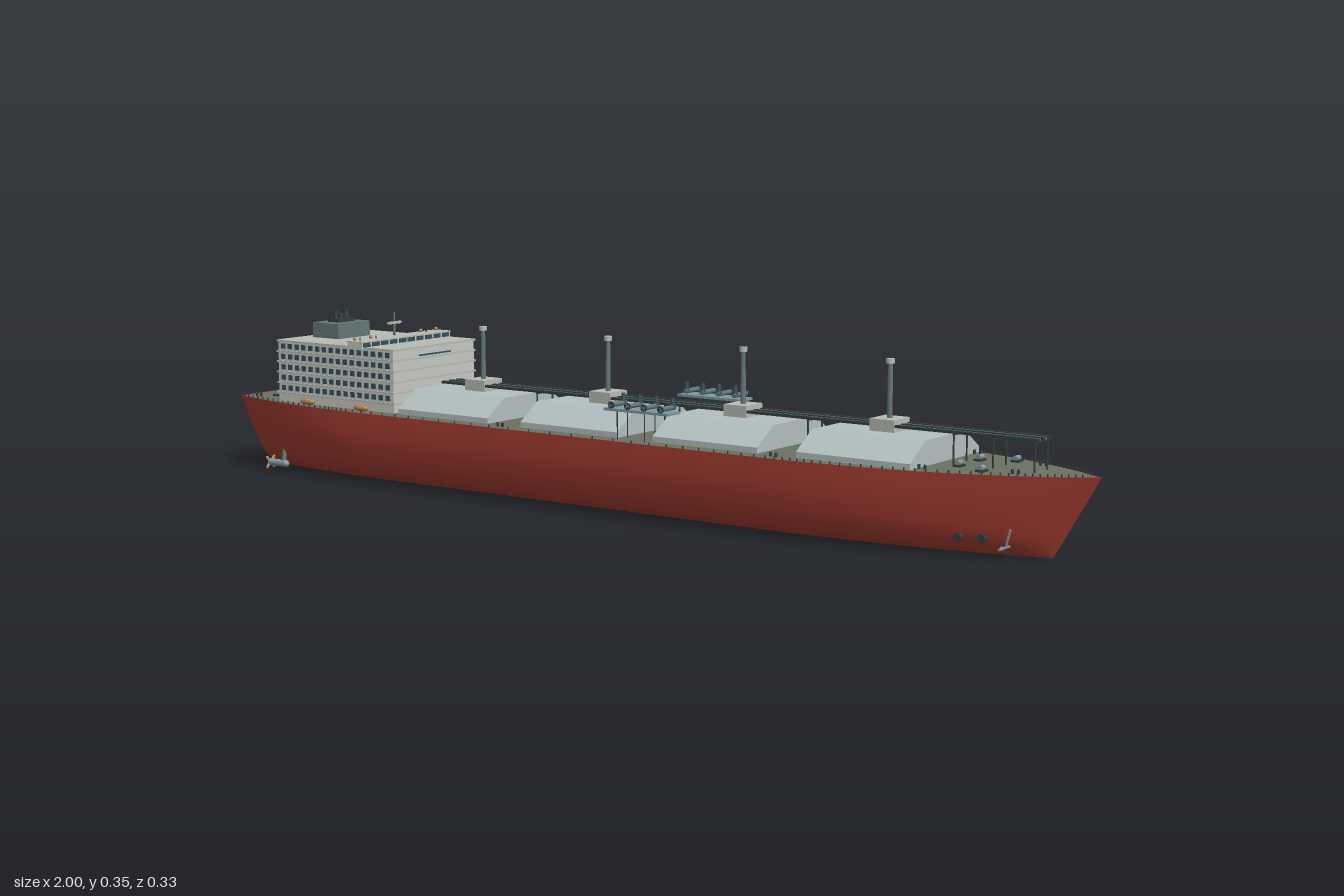
import * as THREE from 'three';

const mat = (color, opts = {}) => new THREE.MeshStandardMaterial({ color, ...opts });
const M = {
  hull: mat(0xa83e32, { side: THREE.DoubleSide }), deck: mat(0x6c7262, { side: THREE.DoubleSide }),
  white: mat(0xc9cac4), tank: mat(0xb4c0c0), glass: mat(0x34505e), steel: mat(0x647876),
  dark: mat(0x33403f), pale: mat(0xb9bcb5), orange: mat(0xb8844e), blue: mat(0x7c98a2),
};
const DECK = 0.155;

export function createModel() {
  const ship = new THREE.Group();

  // Helpers
  const add = (name, geo, m, x = 0, y = 0, z = 0) => {
    const mesh = new THREE.Mesh(geo, m);
    mesh.name = name;
    mesh.position.set(x, y, z);
    ship.add(mesh);
    return mesh;
  };
  const box = (name, m, x0, x1, y0, y1, z0, z1) =>
    add(name, new THREE.BoxGeometry(x1 - x0, y1 - y0, z1 - z0), m, (x0 + x1) / 2, (y0 + y1) / 2, (z0 + z1) / 2);
  const post = (name, m, x, y0, y1, z, r, r2 = r, n = 10) =>
    add(name, new THREE.CylinderGeometry(r2, r, y1 - y0, n), m, x, (y0 + y1) / 2, z);
  const bar = (name, m, a, b, r, n = 8) => {
    const p = new THREE.Vector3(...a), d = new THREE.Vector3(...b).sub(p);
    const mesh = add(name, new THREE.CylinderGeometry(r, r, d.length(), n), m);
    mesh.position.copy(p).addScaledVector(d, 0.5);
    mesh.quaternion.setFromUnitVectors(new THREE.Vector3(0, 1, 0), d.normalize());
    return mesh;
  };
  const boxes = (name, size, m, places) => {
    const mesh = new THREE.InstancedMesh(new THREE.BoxGeometry(...size), m, places.length);
    places.forEach((p, i) => mesh.setMatrixAt(i, new THREE.Matrix4().makeTranslation(...p)));
    mesh.name = name;
    ship.add(mesh);
  };
  const v2 = (list) => list.map(([a, b]) => new THREE.Vector2(a, b));

  // Hull: one midship section scaled along the deck plan, with raked ends
  const plan = new THREE.SplineCurve(v2([[-1, 0.113], [-0.86, 0.145], [-0.72, 0.162], [-0.6, 0.166], [-0.3, 0.166],
    [0.1, 0.166], [0.38, 0.166], [0.52, 0.16], [0.68, 0.137], [0.83, 0.092], [0.93, 0.045], [1, 0]])).getPoints(88);
  const half = new THREE.SplineCurve(v2([[0.166, DECK], [0.165, 0.12], [0.16, 0.08], [0.145, 0.033], [0.107, 0.009],
    [0.06, 0], [0, 0]])).getPoints(18).map((p) => new THREE.Vector2(p.x, Math.max(0, p.y)));
  const section = [...half, ...half.slice(0, -1).reverse().map((p) => new THREE.Vector2(-p.x, p.y))];
  const pos = [], index = [], n = section.length;
  plan.forEach((s, i) => section.forEach((p, j) => {
    const rake = (s.x < 0 ? 0.07 : 0.09) * (1 - p.y / DECK);
    pos.push(s.x * (1 - rake), p.y, p.x * Math.max(0, s.y) / 0.166);
    if (i < plan.length - 1 && j < n - 1) {
      const a = i * n + j, b = a + n;
      index.push(a, a + 1, b, b, a + 1, b + 1);
    }
  }));
  const hull = new THREE.BufferGeometry();
  hull.setAttribute('position', new THREE.Float32BufferAttribute(pos, 3));
  hull.setIndex(index);
  hull.computeVertexNormals();
  add('hull', hull, M.hull);

  // Transom closes the stern
  const transom = new THREE.BufferGeometry();
  transom.setAttribute('position', new THREE.Float32BufferAttribute(pos.slice(0, n * 3), 3));
  const fan = [];
  for (let j = 1; j < n - 1; j++) fan.push(0, j + 1, j);
  transom.setIndex(fan);
  transom.computeVertexNormals();
  add('transom', transom, M.hull);

  // Deck and the low posts round its edge
  const outline = [...plan, ...plan.slice(0, -1).reverse().map((p) => new THREE.Vector2(p.x, -p.y))];
  add('deck', new THREE.ShapeGeometry(new THREE.Shape(outline)), M.deck, 0, DECK - 0.001).rotation.x = -Math.PI / 2;
  const railPosts = [];
  plan.forEach((p) => { if (p.x < 0.98) for (const s of [1, -1]) railPosts.push([p.x, DECK + 0.002, s * (p.y - 0.002)]); });
  boxes('railPosts', [0.002, 0.006, 0.002], M.dark, railPosts);

  // Deckhouse: core, floor slabs, windows
  box('deckhouse', M.white, -0.868, -0.538, DECK, 0.286, -0.13, 0.13);
  const sideWindows = [], endWindows = [];
  for (let k = 0; k < 6; k++) {
    const y = 0.172 + k * 0.0225;
    box('floorSlab', M.pale, -0.871, -0.535, y, y + 0.004, -0.133, 0.133);
    if (k === 5) continue;
    for (let i = 0; i < 16; i++) for (const s of [1, -1]) sideWindows.push([-0.853 + i * 0.02, y + 0.0135, s * 0.13]);
    for (let i = 0; i < 13; i++) endWindows.push([-0.868, y + 0.0135, -0.12 + i * 0.02]);
  }
  boxes('sideWindows', [0.011, 0.011, 0.004], M.glass, sideWindows);
  boxes('sternWindows', [0.004, 0.011, 0.011], M.glass, endWindows);
  box('frontWindowStrip', M.glass, -0.537, -0.534, 0.268, 0.271, -0.05, 0.05);

  // Bridge with wings, window band and roof gear
  box('bridge', M.white, -0.655, -0.615, 0.286, 0.299, -0.141, 0.141);
  box('bridgeRoof', M.pale, -0.657, -0.613, 0.298, 0.3005, -0.143, 0.143);
  const bridgeWindows = [];
  for (let i = 0; i < 10; i++) bridgeWindows.push([-0.615, 0.293, -0.126 + i * 0.028]);
  boxes('bridgeWindows', [0.003, 0.009, 0.022], M.glass, bridgeWindows);
  post('bridgeMast', M.steel, -0.65, 0.3, 0.35, 0, 0.003, 0.0015);
  box('radarBar', M.pale, -0.653, -0.647, 0.325, 0.33, -0.02, 0.02);
  for (const z of [-0.13, -0.08, 0.08, 0.13]) {
    add('searchlight', new THREE.SphereGeometry(0.004, 10, 8), M.orange, -0.645, 0.304, z);
    bar('wingAerial', M.dark, [-0.63, 0.3, z], [-0.63, 0.308, z], 0.0008);
  }

  // Funnel casing and exhausts
  box('funnelCasing', M.steel, -0.842, -0.767, 0.286, 0.321, -0.05, 0.05);
  for (const z of [-0.016, 0, 0.016]) post('exhaust', M.dark, -0.805, 0.32, z ? 0.345 : 0.338, z, 0.006, 0.006, 14);
  box('exhaustBase', M.dark, -0.822, -0.788, 0.32, 0.328, -0.024, 0.024);

  // Cargo tank covers with pump masts
  const cover = new THREE.Shape(v2([[-0.13, 0], [0.13, 0], [0.13, 0.011], [0.075, 0.047], [-0.075, 0.047], [-0.13, 0.011]]));
  [-0.525, -0.2, 0.125, 0.45].forEach((x) => {
    add('tankCover', new THREE.ExtrudeGeometry(cover, { depth: 0.24, bevelEnabled: false }), M.tank, x, DECK, 0)
      .rotation.y = Math.PI / 2;
    const mx = x + 0.122;
    box('mastHouse', M.pale, mx - 0.026, mx + 0.026, 0.2, 0.225, -0.029, 0.029);
    post('ventMast', M.steel, mx, 0.225, 0.328, 0, 0.0055, 0.0045);
    post('ventCap', M.pale, mx, 0.326, 0.335, 0, 0.008, 0.008, 12);
    for (const z of [-0.018, -0.009, 0, 0.009, 0.018])
      add('mastHousePort', new THREE.SphereGeometry(0.003, 8, 6), M.steel, mx + 0.026, 0.213, z);
  });

  // Central pipe rack, carried on portal frames
  for (const z of [-0.023, 0, 0.023]) box('rackBeam', M.dark, -0.495, 0.888, 0.211, 0.216, z - 0.004, z + 0.004);
  for (const z of [-0.012, 0.012]) bar('rackPipe', M.steel, [-0.495, 0.2125, z], [0.885, 0.2125, z], 0.003);
  for (const x of [-0.24, 0.08, 0.41, 0.72, 0.8, 0.882]) {
    for (const z of [-0.025, 0.025]) bar('rackLeg', M.dark, [x, DECK, z], [x, 0.212, z], 0.0018);
    box('rackCrossbeam', M.dark, x - 0.002, x + 0.002, 0.208, 0.211, -0.026, 0.026);
  }

  for (const s of [1, -1]) {
    // Loading manifolds
    box('manifoldPlatform', M.blue, 0.02, 0.172, 0.21, 0.215, s * 0.125 - 0.022, s * 0.125 + 0.022);
    for (const x of [0.05, 0.115]) for (const z of [0.108, 0.142])
      bar('platformLeg', M.dark, [x, DECK, s * z], [x, 0.21, s * z], 0.001);
    for (let i = 0; i < 4; i++) {
      const x = 0.04 + i * 0.039;
      bar('manifoldPipe', M.steel, [x, 0.222, s * 0.102], [x, 0.222, s * 0.15], 0.005, 12);
      bar('manifoldFlange', M.dark, [x, 0.222, s * 0.147], [x, 0.222, s * 0.15], 0.007, 12);
      post('manifoldValve', M.glass, x, 0.222, 0.241, s * 0.108, 0.0055, 0.004, 10);
    }

    // Lifeboats beside the deckhouse
    for (const x of [-0.77, -0.61]) {
      const z = s * (x < -0.7 ? 0.145 : 0.152);
      add('lifeboat', new THREE.SphereGeometry(0.007, 14, 10), M.orange, x, 0.163, z).scale.x = 3;
    }

    // Mooring winches and bollards
    for (const [x, z] of [[0.8, 0.068], [0.74, 0.04], [-0.93, 0.07]]) {
      bar('winchDrum', M.blue, [x, 0.162, s * z - 0.008], [x, 0.162, s * z + 0.008], 0.005, 12);
      box('winchBase', M.dark, x - 0.008, x + 0.008, DECK, 0.159, s * z - 0.01, s * z + 0.01);
    }
    for (const [x, z] of [[0.86, 0.055], [0.7, 0.105], [0.41, 0.145], [-0.24, 0.145], [-0.96, 0.1]])
      for (const d of [-0.006, 0.006]) post('bollard', M.dark, x + d, DECK, 0.163, s * z, 0.0028);

    // Anchor and tunnel thrusters at the bow
    bar('anchorShank', M.blue, [0.845, 0.022, s * 0.057], [0.855, 0.055, s * 0.06], 0.0025);
    bar('anchorArms', M.blue, [0.845, 0.021, s * 0.043], [0.845, 0.021, s * 0.083], 0.0025);
    add('anchorCrown', new THREE.SphereGeometry(0.005, 10, 8), M.steel, 0.845, 0.021, s * 0.072);
    for (const [x, z] of [[0.765, 0.085], [0.805, 0.07]])
      bar('bowThruster', M.dark, [x, 0.036, s * (z - 0.01)], [x, 0.036, s * (z + 0.006)], 0.008, 16);

    // Stern pods with four-bladed propellers
    const z = s * 0.125;
    bar('podStrut', M.steel, [-0.865, 0.018, z], [-0.865, 0.053, s * 0.119], 0.005, 10);
    bar('pod', M.blue, [-0.905, 0.018, z], [-0.858, 0.018, z], 0.0075, 14);
    add('podNose', new THREE.SphereGeometry(0.0075, 14, 10), M.blue, -0.858, 0.018, z);
    for (let k = 0; k < 4; k++) {
      const a = Math.PI / 4 + k * Math.PI / 2, c = Math.cos(a), d = Math.sin(a);
      const blade = add('propellerBlade', new THREE.SphereGeometry(1, 10, 8), M.orange, -0.904, 0.018 + d * 0.011, z + c * 0.011);
      blade.scale.set(0.0018, 0.008, 0.004);
      blade.rotation.x = Math.PI / 2 - a;
    }
  }
  return ship;
}
